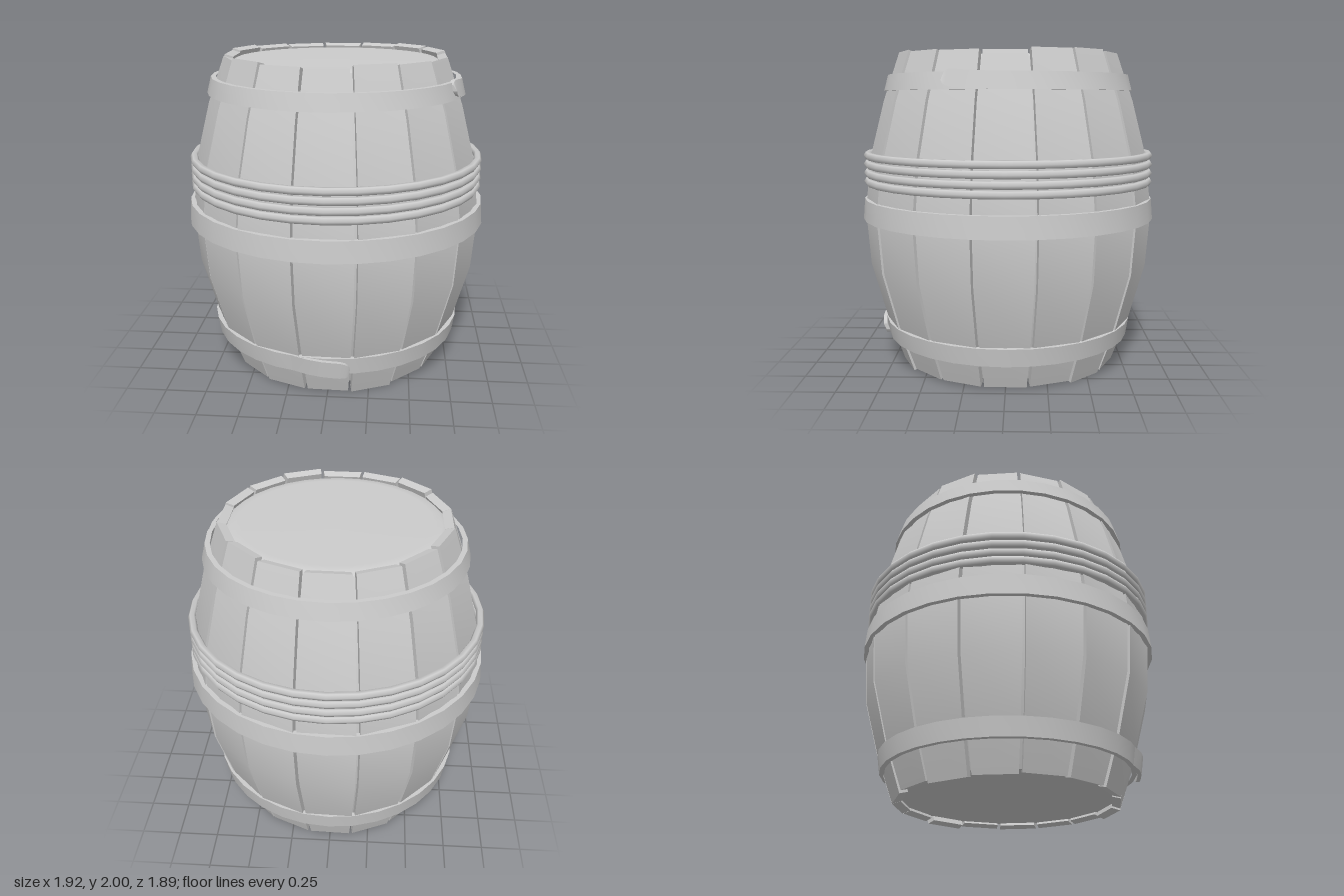
import * as THREE from 'three';
import { toCreasedNormals } from 'three/addons/utils/BufferGeometryUtils.js';

const STAVES = 16;
const HOOP_DEPTH = 0.985; // hoops are slightly narrower front to back
const material = new THREE.MeshStandardMaterial({ color: 0xcccccc });

// Outer radius of the staves at height y (bulging profile, straight between points)
const PROFILE = [[0, 0.685], [0.3, 0.79], [0.65, 0.885], [1, 0.912], [1.35, 0.873], [1.7, 0.785], [2, 0.685]];

// Small seeded generator for hand-made irregularity, -1..1
let seed = 7;
function jitter() {
  seed = (seed * 16807) % 2147483647;
  return (seed / 2147483647) * 2 - 1;
}

// Closed solid through four-cornered sections (counter-clockwise about the travel
// direction): smooth along its length, hard at its four edges
function sweep(sections) {
  const positions = [];
  const index = [];
  for (let k = 0; k < 4; k++) {
    const base = positions.length / 3;
    sections.forEach((s) => positions.push(...s[k], ...s[(k + 1) % 4]));
    for (let i = 0; i < sections.length - 1; i++) {
      const a = base + i * 2;
      index.push(a, a + 1, a + 2, a + 1, a + 3, a + 2);
    }
  }
  const cap = (s, flip) => {
    const b = positions.length / 3;
    s.forEach((p) => positions.push(...p));
    index.push(...(flip ? [b, b + 2, b + 1, b, b + 3, b + 2] : [b, b + 1, b + 2, b, b + 2, b + 3]));
  };
  cap(sections[0], true);
  cap(sections[sections.length - 1], false);
  const geometry = new THREE.BufferGeometry();
  geometry.setAttribute('position', new THREE.Float32BufferAttribute(positions, 3));
  geometry.setIndex(index);
  geometry.computeVertexNormals();
  return geometry;
}

function add(parent, name, geometry) {
  const mesh = new THREE.Mesh(geometry, material);
  mesh.name = name;
  parent.add(mesh);
  return mesh;
}

function lathe(points, sides, start = 0) {
  return new THREE.LatheGeometry(points.map(([r, y]) => new THREE.Vector2(r, y)), sides, start);
}

// One plank facing +z, slightly uneven in length, depth and twist; ends cut square to its slope
function staveGeometry(fullLength) {
  const shift = jitter() * 0.004;
  const twist = jitter() * 0.03;
  const bottom = fullLength ? 0 : 0.01 + jitter() * 0.009;
  const top = fullLength ? 2 : 1.99 + jitter() * 0.009;
  const slope = Math.tan(Math.PI / STAVES);
  const last = PROFILE.length - 1;
  return sweep(PROFILE.map(([y, r], i) => {
    const h = i === 0 ? bottom : i === last ? top : y;
    const cut = i === 0 ? 0.015 : i === last ? -0.015 : 0;
    const outer = r + shift;
    const inner = outer - 0.052;
    const corner = (side, radius, height) => {
      const x = side * (radius * slope - 0.01);
      return [x, height, radius + x * twist];
    };
    return [corner(-1, outer, h), corner(1, outer, h), corner(1, inner, h + cut), corner(-1, inner, h + cut)];
  }));
}

// Flat metal ring
function hoopGeometry(low, high, rLow, rHigh) {
  const section = [[rLow - 0.03, low], [rLow, low], [rHigh, high], [rHigh - 0.03, high]];
  return toCreasedNormals(lathe(section, 32).scale(1, 1, HOOP_DEPTH), 0.6);
}

// Loose, rounded end lying over a hoop. angle: its tip (0 = front, positive toward +x),
// dir: way the tip points, lift: how far it peels off
function hoopEndGeometry({ low, high, rLow, rHigh, angle, dir, droop, lift }) {
  const length = 0.45;
  const sections = [0, 0.01, 0.03, 0.07, 0.13, 0.2, 0.3, length].map((d) => {
    const a = angle - dir * d;
    const free = 1 - d / length;
    const rise = lift * Math.min(1, free * 2.2) - 0.005;
    const tip = Math.max(0, 1 - d / 0.07);
    const half = ((high - low) / 2) * (0.35 + 0.65 * Math.sqrt(1 - tip * tip));
    const mid = (low + high) / 2 + droop * free * free;
    const point = (y, r) => [Math.sin(a) * r, y, Math.cos(a) * r * HOOP_DEPTH];
    return [
      point(mid - half, rLow + rise - 0.024), point(mid + half, rHigh + rise - 0.024),
      point(mid + half, rHigh + rise), point(mid - half, rLow + rise),
    ];
  });
  // sections must run with increasing angle
  if (dir > 0) sections.reverse();
  return sweep(sections);
}

export function createModel() {
  const barrel = new THREE.Group();
  barrel.name = 'barrel';

  // Ring of planks
  const staves = new THREE.Group();
  staves.name = 'staves';
  for (let i = 0; i < STAVES; i++) {
    const stave = add(staves, 'stave', staveGeometry(i % 5 === 1));
    stave.rotation.y = (i / STAVES) * Math.PI * 2;
  }
  barrel.add(staves);

  // Inner wall closing the seams, its corners on the seams
  const apothem = Math.cos(Math.PI / STAVES);
  const wall = PROFILE.map(([y, r]) => [(r - 0.045) / apothem, THREE.MathUtils.clamp(y, 0.05, 1.95)]);
  add(barrel, 'innerWall', lathe(wall, STAVES, Math.PI / STAVES));

  // Softly rounded lid and flat, slightly sunken base
  add(barrel, 'lid', lathe([[0.655, 1.945], [0.625, 1.962], [0.57, 1.967], [0, 1.968]], 32));
  add(barrel, 'base', lathe([[0, 0.045], [0.665, 0.045]], 32));

  // Upper and lower hoops with loose ends, and the closed middle hoop
  add(barrel, 'upperHoop', hoopGeometry(1.76, 1.86, 0.808, 0.782));
  add(barrel, 'upperHoopEnd', hoopEndGeometry({
    low: 1.76, high: 1.86, rLow: 0.808, rHigh: 0.782, angle: 1.11, dir: -1, droop: 0.02, lift: 0.014,
  }));
  add(barrel, 'lowerHoop', hoopGeometry(0.18, 0.29, 0.802, 0.82));
  add(barrel, 'lowerHoopEnd', hoopEndGeometry({
    low: 0.18, high: 0.29, rLow: 0.802, rHigh: 0.82, angle: 0.17, dir: 1, droop: -0.022, lift: 0.032,
  }));
  add(barrel, 'middleHoop', hoopGeometry(0.95, 1.08, 0.958, 0.947));

  // Four turns of rope above the middle
  [1.19, 1.243, 1.3, 1.355].forEach((y) => {
    const rope = add(barrel, 'ropeRing', new THREE.TorusGeometry(0.91, 0.025, 6, 32));
    rope.rotation.x = Math.PI / 2;
    rope.position.y = y;
  });

  return barrel;
}
